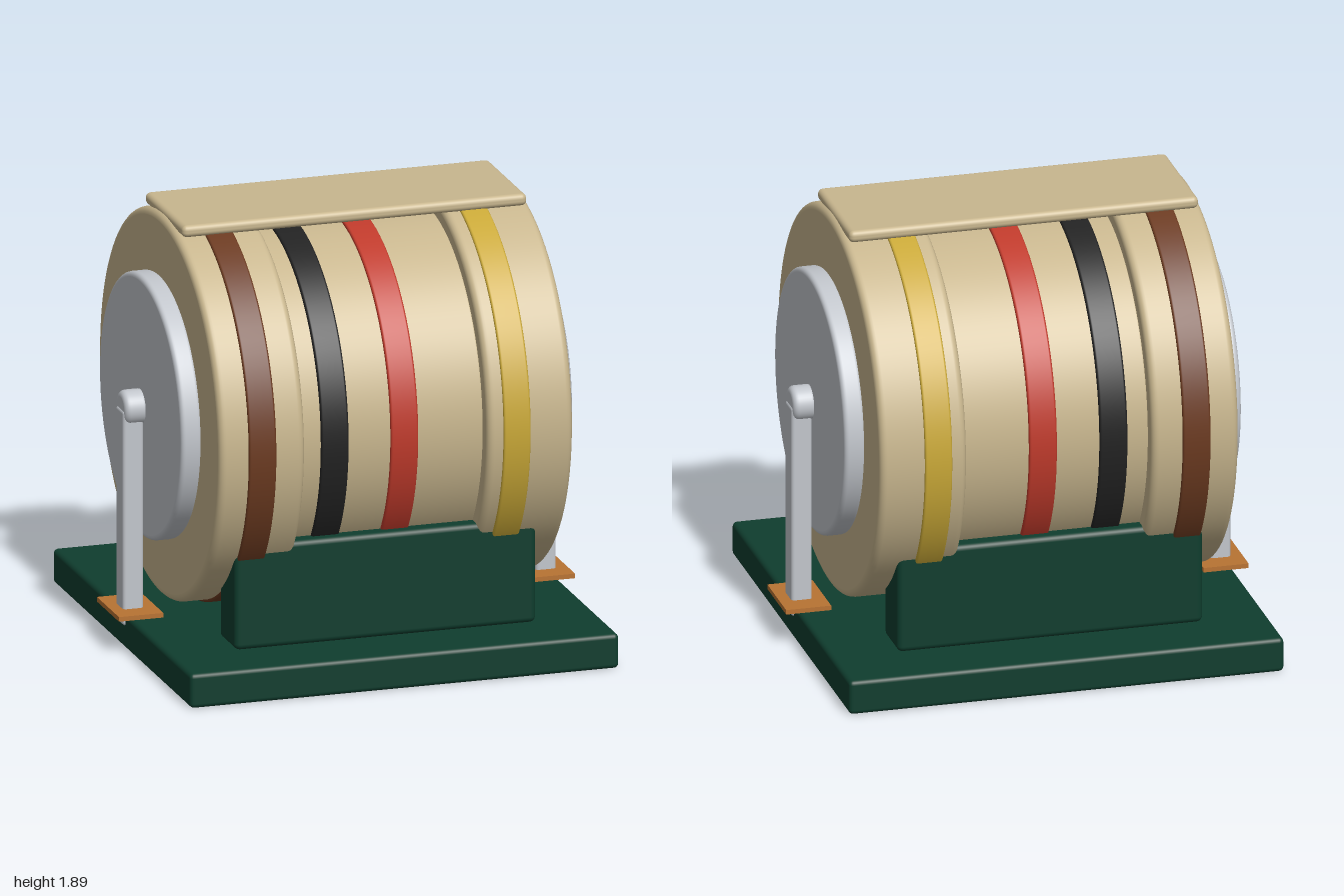
import * as THREE from 'three';
import { RoundedBoxGeometry } from 'three/addons/geometries/RoundedBoxGeometry.js';

const mat = (name, color) => Object.assign(new THREE.MeshStandardMaterial({ color }), { name });

const AXIS_Y = 1.04; // height of the drum's axis

export function createModel() {
  const tan = mat('tan', 0xc8b68e);
  const green = mat('darkGreen', 0x0f3d2e);
  const silver = mat('silver', 0xc2c6cc);
  const copper = mat('copper', 0xb87333);
  const brown = mat('brown', 0x6b3a20);
  const black = mat('black', 0x222222);
  const red = mat('red', 0xbf3a2b);
  const gold = mat('gold', 0xc9a837);

  const model = new THREE.Group();
  model.name = 'drumOnStand';

  const add = (name, geometry, material, x, y, z) => {
    const mesh = new THREE.Mesh(geometry, material);
    mesh.name = name;
    mesh.position.set(x, y, z);
    model.add(mesh);
    return mesh;
  };

  // Box given by its extents, with rounded edges
  const roundBox = (name, material, [x0, x1], [y0, y1], [z0, z1], r) =>
    add(name, new RoundedBoxGeometry(x1 - x0, y1 - y0, z1 - z0, 3, r), material,
      (x0 + x1) / 2, (y0 + y1) / 2, (z0 + z1) / 2);

  // Disc along the x axis from x0 to x1, with rounded rims
  const disc = (name, material, x0, x1, radius, r, segments = 96) => {
    const h = (x1 - x0) / 2;
    const e = r * 0.05;
    const points = [new THREE.Vector2(0, -h), new THREE.Vector2(radius - r - e, -h)];
    for (const [centre, start] of [[-h + r, -Math.PI / 2], [h - r, 0]]) {
      for (let i = 0; i <= 5; i++) {
        const a = start + (i / 5) * Math.PI / 2;
        points.push(new THREE.Vector2(radius - r + r * Math.cos(a), centre + r * Math.sin(a)));
      }
    }
    points.push(new THREE.Vector2(radius - r - e, h), new THREE.Vector2(0, h));
    const geometry = new THREE.LatheGeometry(points, segments);
    geometry.rotateZ(-Math.PI / 2);
    return add(name, geometry, material, (x0 + x1) / 2, AXIS_Y, 0);
  };

  // Stand
  roundBox('base', green, [-0.94, 0.94], [0, 0.15], [-0.94, 0.94], 0.02);
  roundBox('frontCradle', green, [-0.66, 0.66], [0.15, 0.605], [0.46, 0.68], 0.025);
  roundBox('backCradle', green, [-0.66, 0.66], [0.15, 0.605], [-0.68, -0.46], 0.025);

  // Drum body with a thicker collar at each end
  disc('drumBarrel', tan, -0.41, 0.41, 0.755, 0.015);
  disc('rightCollar', tan, -0.775, -0.4, 0.83, 0.03);
  disc('leftCollar', tan, 0.4, 0.775, 0.83, 0.03);

  // Coloured bands
  disc('brownBand', brown, -0.65, -0.53, 0.842, 0.01);
  disc('blackBand', black, -0.31, -0.19, 0.77, 0.01);
  disc('redBand', red, -0.005, 0.115, 0.77, 0.01);
  disc('goldBand', gold, 0.467, 0.585, 0.842, 0.01);

  // Flat plate on top
  roundBox('topPlate', tan, [-0.755, 0.755], [1.838, 1.89], [-0.263, 0.263], 0.022);

  // End caps, axle ends, legs and copper pads, mirrored
  for (const [side, s] of [['left', 1], ['right', -1]]) {
    const span = (a, b) => (s > 0 ? [a, b] : [-b, -a]);
    disc(side + 'EndCap', silver, ...span(0.765, 0.858), 0.565, 0.02);
    disc(side + 'AxleEnd', silver, ...span(0.84, 0.945), 0.075, 0.025, 40);
    roundBox(side + 'Leg', silver, span(0.86, 0.95), [0.1, 1.04], [-0.054, 0.054], 0.015);
    add(side + 'Pad', new THREE.BoxGeometry(0.195, 0.02, 0.3), copper, s * 0.9025, 0.165, 0);
  }

  return model;
}
